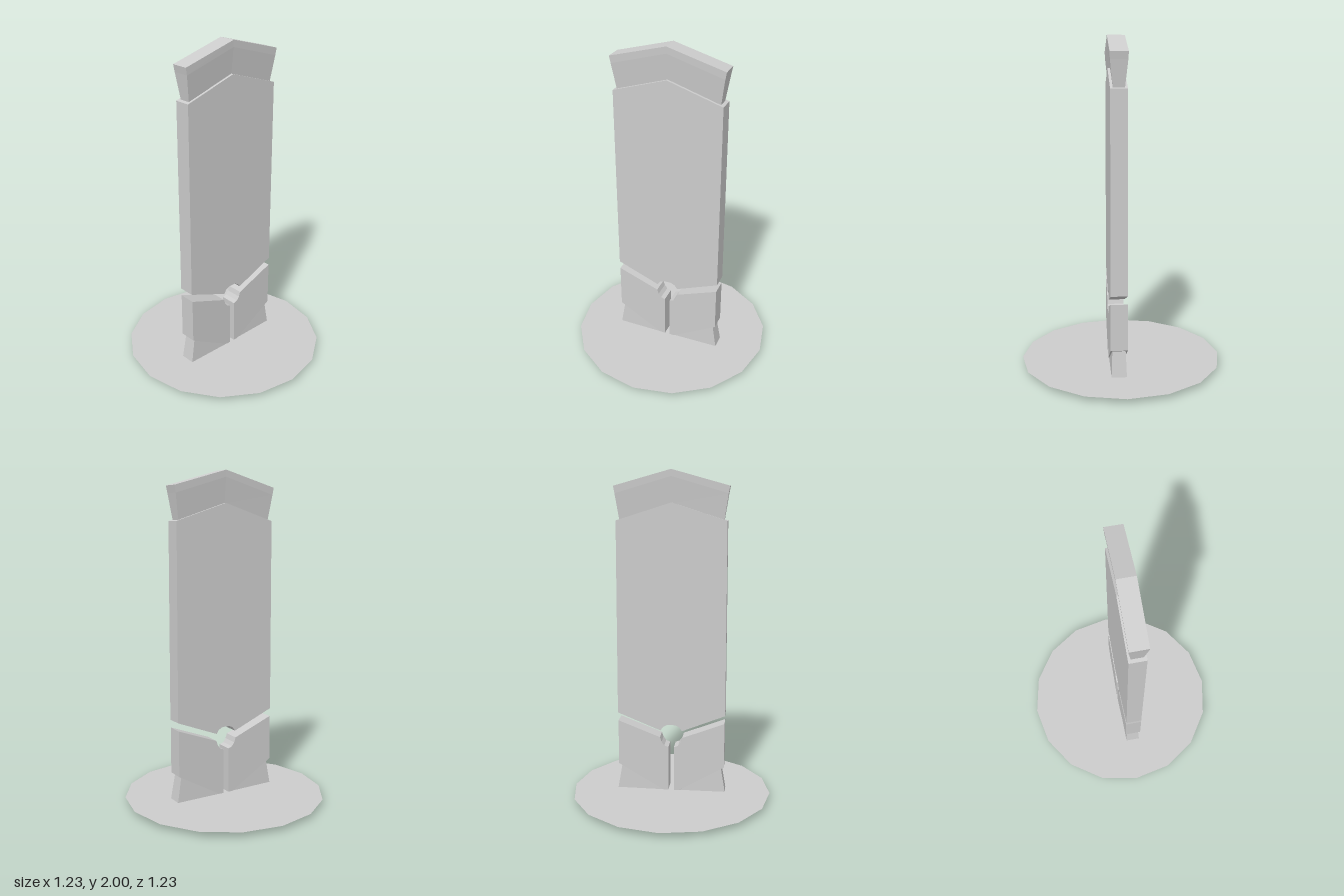
import * as THREE from 'three';

const MID_Z = 0.029; // the stone stands slightly forward of the disc centre
const material = new THREE.MeshStandardMaterial({ color: 0xcccccc, flatShading: true });

function addMesh(parent, name, geometry, z = MID_Z) {
  const mesh = new THREE.Mesh(geometry, material);
  mesh.name = name;
  mesh.position.z = z;
  parent.add(mesh);
  return mesh;
}

// Flat outline in x/y, extruded evenly about z = 0
function plate(points, depth) {
  const shape = new THREE.Shape(points.map(([x, y]) => new THREE.Vector2(x, y)));
  return new THREE.ExtrudeGeometry(shape, { depth, bevelEnabled: false }).translate(0, 0, -depth / 2);
}

// Solid through levels from bottom to top; a level is a row of [x, y, halfDepth] with x ascending
function loft(levels) {
  const rings = levels.map(row => [
    ...row.map(([x, y, d]) => [x, y, d]),
    ...[...row].reverse().map(([x, y, d]) => [x, y, -d]),
  ]);
  const n = rings[0].length;
  const pos = [];
  const quad = (a, b, c, d) => pos.push(...a, ...b, ...c, ...a, ...c, ...d);
  for (let r = 0; r < rings.length - 1; r++) {
    for (let i = 0; i < n; i++) {
      const j = (i + 1) % n;
      quad(rings[r][i], rings[r][j], rings[r + 1][j], rings[r + 1][i]);
    }
  }
  const low = rings[0], top = rings[rings.length - 1];
  for (let k = 0; k < n / 2 - 1; k++) {
    quad(top[k], top[k + 1], top[n - 2 - k], top[n - 1 - k]);
    quad(low[n - 1 - k], low[n - 2 - k], low[k + 1], low[k]);
  }
  const geometry = new THREE.BufferGeometry();
  geometry.setAttribute('position', new THREE.Float32BufferAttribute(pos, 3));
  geometry.computeVertexNormals();
  return geometry;
}

export function createModel() {
  const model = new THREE.Group();
  model.name = 'standingStone';

  // Thin ground disc that the feet pass through
  const disc = addMesh(model, 'groundDisc', new THREE.CircleGeometry(0.615, 16).rotateX(-Math.PI / 2), 0);
  disc.position.y = 0.03;
  disc.material = new THREE.MeshStandardMaterial({ color: 0xcccccc, side: THREE.DoubleSide });

  // Tall slab with a peaked top and a round notch in its lower edge
  const half = [[0.025, 0.455], [0.05, 0.442], [0.067, 0.418], [0.333, 0.525], [0.33, 1.705]];
  const mirrored = half.map(([x, y]) => [-x, y]).reverse();
  addMesh(model, 'slab', plate([...half, [0, 1.81], ...mirrored], 0.098));

  // Peaked cap: narrow neck flaring to a straight rim
  const capRow = (x, sideY, peakY, d) => [[-x, sideY, d], [0, peakY, d], [x, sideY, d]];
  addMesh(model, 'cap', loft([
    capRow(0.31, 1.705, 1.805, 0.033),
    capRow(0.334, 1.862, 1.96, 0.05),
    capRow(0.342, 1.905, 2, 0.052),
  ]));

  // Two lower blocks, each on a flared foot
  for (const [side, s] of [['left', 1], ['right', -1]]) {
    const block = [
      [0.017, 0.012], [0.33, 0.193], [0.33, 0.475], [0.07, 0.375],
      [0.06, 0.345], [0.043, 0.322], [0.017, 0.312],
    ].map(([x, y]) => [s * x, y]);
    addMesh(model, side + 'LowerBlock', plate(block, 0.102));

    const row = (outer, inner) =>
      [inner, outer].map(([x, y, d]) => [s * x, y, d]).sort((a, b) => a[0] - b[0]);
    addMesh(model, side + 'Foot', loft([
      row([0.346, 0, 0.043], [0.017, 0, 0.046]),
      row([0.337, 0.03, 0.045], [0.017, 0.008, 0.048]),
      row([0.31, 0.188, 0.039], [0.017, 0.016, 0.05]),
    ]));
  }

  return model;
}
